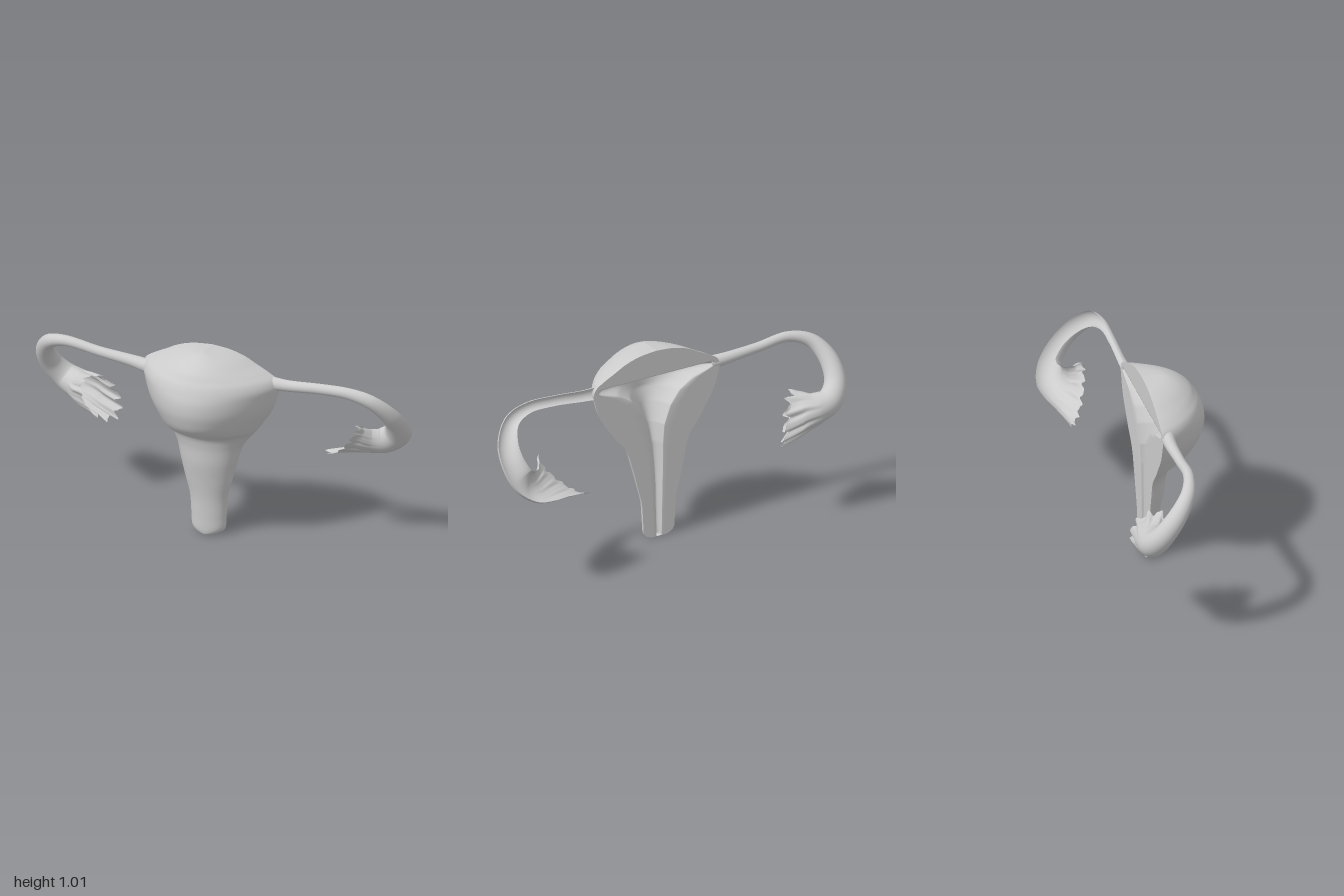
import * as THREE from 'three';
import { mergeVertices } from 'three/addons/utils/BufferGeometryUtils.js';

const material = new THREE.MeshStandardMaterial({ color: 0xcccccc, side: THREE.DoubleSide });
const smooth = THREE.MathUtils.smoothstep;
const V = (x, y, z) => new THREE.Vector3(x, y, z);
const BACK = -0.012; // plane of the cut face

// Smooth surface through a grid of points, point(i, j) for rows i and columns j
function gridMesh(name, rows, cols, point) {
  const pos = [], index = [];
  for (let i = 0; i <= rows; i++) {
    for (let j = 0; j <= cols; j++) {
      pos.push(...point(i, j).toArray());
      if (i === rows || j === cols) continue;
      const a = i * (cols + 1) + j, b = a + cols + 1;
      index.push(a, a + 1, b + 1, a, b + 1, b);
    }
  }
  let geo = new THREE.BufferGeometry();
  geo.setAttribute('position', new THREE.Float32BufferAttribute(pos, 3));
  geo.setIndex(index);
  geo = mergeVertices(geo, 1e-5);
  geo.computeVertexNormals();
  const mesh = new THREE.Mesh(geo, material);
  mesh.name = name;
  return mesh;
}

// Linear lookup in rows of [key, value, value]
function lookup(table, key, col) {
  if (key <= table[0][0]) return table[0][col];
  for (let i = 1; i < table.length; i++) {
    const a = table[i - 1], b = table[i];
    if (key <= b[0]) return THREE.MathUtils.lerp(a[col], b[col], (key - a[0]) / (b[0] - a[0]));
  }
  return table[table.length - 1][col];
}

// Outer outline of the body: half width, height, front depth
const outline = new THREE.CatmullRomCurve3([
  [0, 0.005, 0.045], [0.05, 0.007, 0.058], [0.085, 0.03, 0.064], [0.093, 0.1, 0.067],
  [0.1, 0.2, 0.073], [0.125, 0.3, 0.088], [0.15, 0.4, 0.106], [0.178, 0.5, 0.117],
  [0.215, 0.555, 0.135], [0.24, 0.584, 0.175], [0.255, 0.605, 0.23], [0.285, 0.65, 0.277],
  [0.318, 0.7, 0.299], [0.342, 0.75, 0.311], [0.36, 0.81, 0.31], [0.37, 0.855, 0.297],
  [0.355, 0.89, 0.282], [0.31, 0.92, 0.262], [0.25, 0.95, 0.24], [0.18, 0.985, 0.195],
  [0.1, 1.008, 0.145], [0, 1.018, 0.1],
].map((p) => V(...p)));

// Cavity in the cut face: height, half width, depth
const cavity = [
  [0.0, 0.016, 0.022], [0.1, 0.018, 0.03], [0.3, 0.022, 0.04], [0.5, 0.032, 0.055],
  [0.6, 0.045, 0.08], [0.7, 0.085, 0.115], [0.77, 0.14, 0.14], [0.82, 0.22, 0.14],
  [0.845, 0.3, 0.12], [0.86, 0.34, 0.1], [0.872, 0.34, 0.06], [0.88, 0.33, 0],
];

function body() {
  const g = new THREE.Group();
  g.name = 'body';
  const rows = 168, cols = 40;
  const rings = Array.from({ length: rows + 1 }, (_, i) => outline.getPoint(i / rows));
  const shift = (y) => -0.013 * (1 - smooth(y, 0.3, 0.7));
  // Domed front wall, flatter flanks on the bulge than on the neck
  g.add(gridMesh('frontWall', rows, cols, (i, j) => {
    const { x: w, y, z: d } = rings[i], t = (j / cols) * Math.PI;
    const power = 1 + 0.6 * smooth(y, 0.5, 0.68) * (1 - 0.4 * smooth(y, 0.88, 1.01));
    const s = Math.max(0, Math.sin(t));
    return V(shift(y) - w * Math.cos(t), y, BACK + d * Math.pow(s, power));
  }));
  // Cut face with a flat margin and the hollow in the middle
  const margin = 4, inner = 24;
  g.add(gridMesh('cutFaceWithCavity', rows, margin * 2 + inner, (i, j) => {
    const { x: w, y } = rings[i];
    const c = Math.min(lookup(cavity, y, 1), w * 0.94), depth = lookup(cavity, y, 2);
    let x, z = BACK;
    if (j < margin) x = THREE.MathUtils.lerp(w, c, j / margin);
    else if (j > margin + inner) x = -THREE.MathUtils.lerp(c, w, (j - margin - inner) / margin);
    else {
      const t = ((j - margin) / inner) * Math.PI;
      x = c * Math.cos(t);
      z += depth * Math.pow(Math.max(0, Math.sin(t)), 1.3) * Math.min(1, w / 0.06);
    }
    return V(shift(y) + x, y, z);
  }));
  return g;
}

// Tube swept along stations [x, y, z, radius]; sweep sets how much of the circle is kept
function duct(name, stations, { sweep, flatten, ruffle, jag, slant, fingers }) {
  const curve = new THREE.CatmullRomCurve3(stations.map((s) => V(s[0], s[1], s[2])));
  const radii = new THREE.CatmullRomCurve3(stations.map((s, i) => V(i, s[3], 0)));
  const rows = 110, cols = 96;
  return gridMesh(name, rows, cols, (i, j) => {
    const t = i / rows, phi = (j / cols) * sweep;
    const p = curve.getPoint(t), T = curve.getTangent(t), r = radii.getPoint(t).y;
    // The open side turns from straight back to up and back along the loop
    const k = smooth(t, 0.2, 0.55);
    const N = V(0, 0.64 * k, -1 + 0.23 * k);
    N.addScaledVector(T, -N.dot(T)).normalize();
    const B = T.clone().cross(N);
    const f = smooth(t, 0.74, 1), f3 = f * f * f;
    const wave = Math.sin(fingers * phi) + 0.45 * Math.sin((fingers * 2 - 3) * phi + 1);
    const rr = r * (1 + ruffle * f * wave);
    const flat = 1 - (1 - flatten) * f;
    return p.addScaledVector(B, rr * Math.cos(phi))
      .addScaledVector(N, -rr * flat * Math.sin(phi))
      .addScaledVector(T, f3 * (jag * wave + slant * Math.cos(phi)));
  });
}

export function createModel() {
  const model = new THREE.Group();
  model.name = 'sectionedOrgan';
  model.add(body());

  // Whole tube with a ruffled, fingered mouth
  model.add(duct('rightTube', [
    [-0.33, 0.855, 0.024, 0.036], [-0.42, 0.864, 0.014, 0.03], [-0.6, 0.88, 0.008, 0.025],
    [-0.78, 0.9, -0.002, 0.027], [-0.89, 0.865, -0.04, 0.036], [-0.945, 0.78, -0.11, 0.048],
    [-0.94, 0.68, -0.18, 0.056], [-0.885, 0.61, -0.215, 0.066], [-0.81, 0.58, -0.205, 0.08],
    [-0.74, 0.565, -0.18, 0.105], [-0.67, 0.55, -0.16, 0.125],
  ], { sweep: Math.PI * 2, flatten: 0.7, ruffle: 0.09, jag: 0.014, slant: -0.06, fingers: 11 }));

  // Tube cut lengthwise, open at the back, ending in a ragged leaf
  model.add(duct('leftOpenTube', [
    [0.33, 0.868, -0.008, 0.036], [0.42, 0.87, -0.005, 0.03], [0.6, 0.885, -0.002, 0.028],
    [0.75, 0.885, -0.006, 0.031], [0.86, 0.85, -0.035, 0.042], [0.927, 0.77, -0.105, 0.056],
    [0.938, 0.69, -0.175, 0.064], [0.91, 0.615, -0.232, 0.072], [0.85, 0.575, -0.25, 0.08],
    [0.78, 0.565, -0.235, 0.09], [0.71, 0.565, -0.2, 0.115], [0.64, 0.565, -0.165, 0.15],
  ], { sweep: Math.PI, flatten: 0.4, ruffle: 0.015, jag: 0.009, slant: 0.07, fingers: 15 }));

  return model;
}
